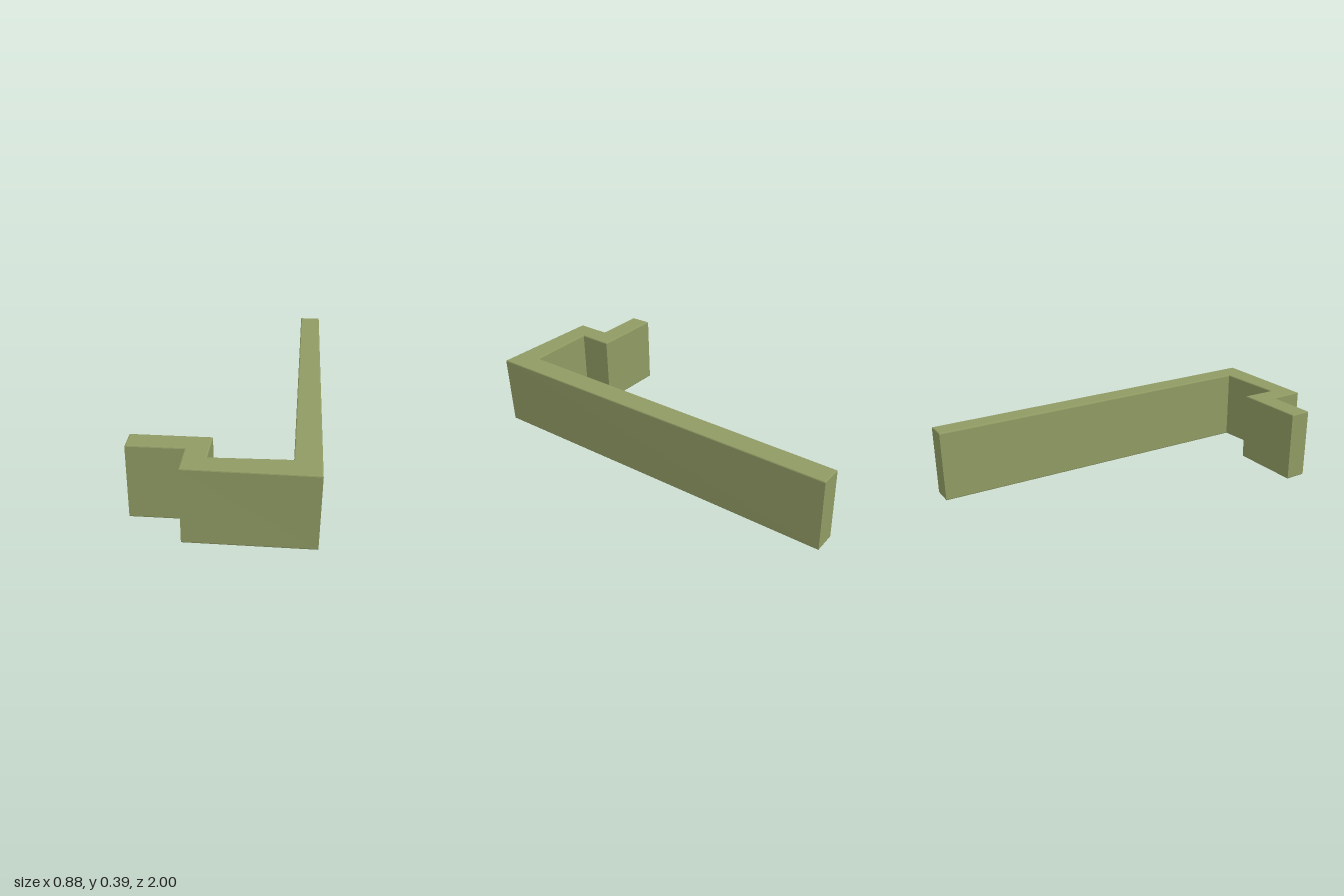
import * as THREE from 'three';

export function createModel() {
  const group = new THREE.Group();
  const material = new THREE.MeshStandardMaterial({ color: 0x8f9a63 });
  const bottom = 0.014, top = 0.392, bevel = 0.006;

  // Plan outline of the bent strip as [x, z]
  const outline = [
    [0.322, -1], [0.436, -1], [0.441, 1], [-0.17, 0.992], [-0.17, 0.81],
    [-0.441, 0.81], [-0.443, 0.694], [-0.056, 0.694], [-0.061, 0.88], [0.316, 0.869],
  ];
  const shape = new THREE.Shape(outline.map(([x, z]) => new THREE.Vector2(x, -z)));
  const geometry = new THREE.ExtrudeGeometry(shape, {
    depth: top - bottom - 2 * bevel,
    bevelSize: bevel, bevelOffset: -bevel, bevelThickness: bevel, bevelSegments: 2,
  });
  geometry.rotateX(-Math.PI / 2);
  geometry.translate(0, bottom + bevel, 0);

  // Underside sags at the inner corner; the outer corner tapers inward a little
  const p = geometry.attributes.position;
  for (let i = 0; i < p.count; i++) {
    const x = p.getX(i), y = p.getY(i), z = p.getZ(i);
    if (y > 0.2) continue;
    if (Math.hypot(x - 0.316, z - 0.869) < 0.05) p.setY(i, y - 0.012);
    else if (Math.hypot(x + 0.061, z - 0.88) < 0.05) p.setY(i, y - 0.003);
    if (x > 0.4 && z > 0.9) p.setXYZ(i, x - 0.005, y, z - 0.005);
  }
  geometry.computeVertexNormals();

  const strip = new THREE.Mesh(geometry, material);
  strip.name = 'bentStrip';
  group.add(strip);
  return group;
}
